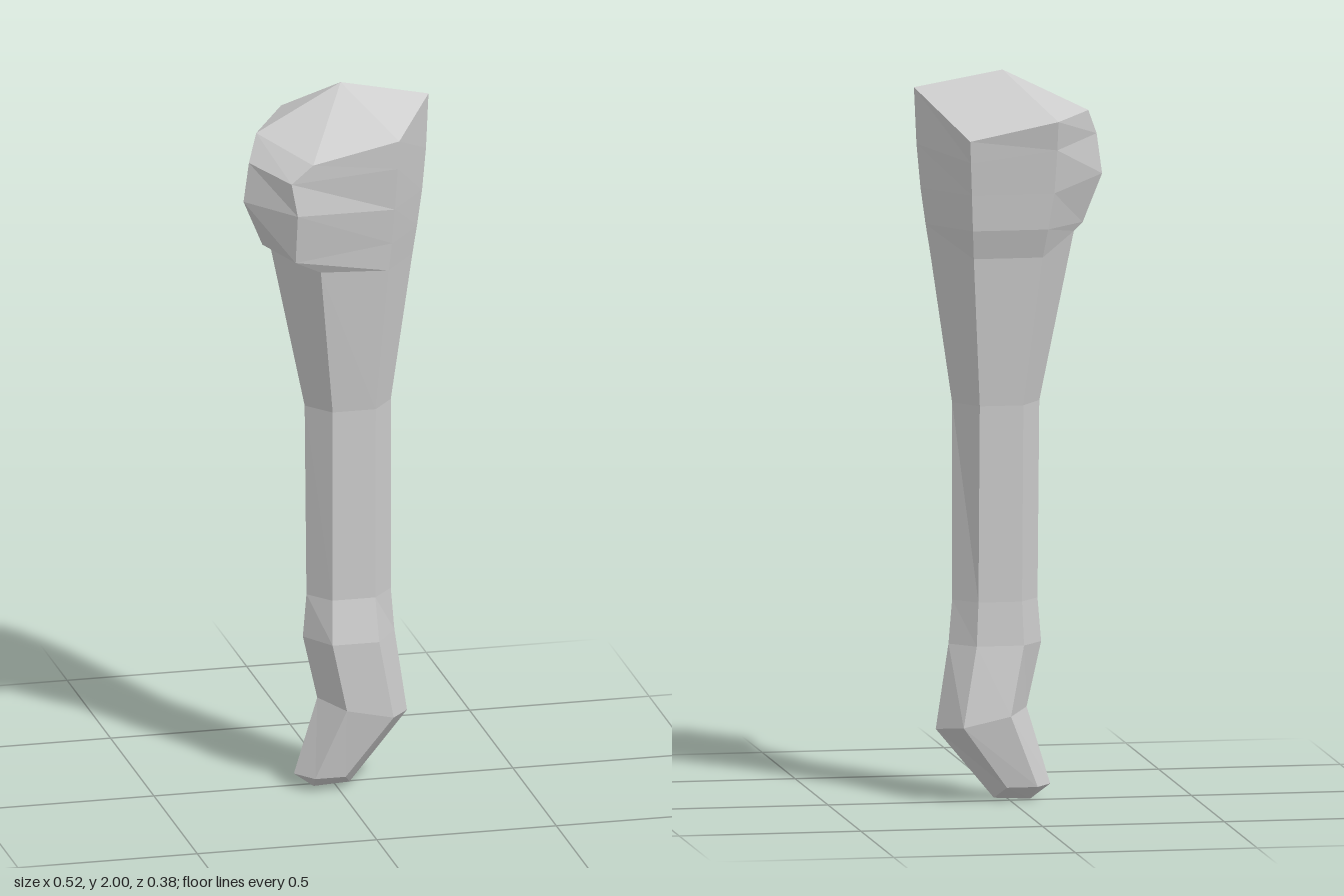
import * as THREE from 'three';

// Six-sided section, mirrored front to back. Corners run: outer, front-outer,
// front-inner, inner, back-inner, back-outer. Slope tilts it along x.
const RIDGE_Z = 0.02;
function section([y, xOuter, xMidOuter, xMidInner, xInner, zFront, zBack, slope]) {
  const centre = (xOuter + xInner) / 2;
  const corner = (x, z) => [x, y + slope * (x - centre), z];
  return [
    corner(xOuter, RIDGE_Z), corner(xMidOuter, zFront), corner(xMidInner, zFront),
    corner(xInner, RIDGE_Z), corner(xMidInner, zBack), corner(xMidOuter, zBack),
  ];
}

// Skin the rings and close both ends with fans
function loft(rings, top, bottom) {
  const pos = [];
  const tri = (a, b, c) => pos.push(...a, ...b, ...c);
  const last = rings[rings.length - 1];
  for (let i = 0; i < 6; i++) {
    const j = (i + 1) % 6;
    tri(top, rings[0][i], rings[0][j]);
    for (let r = 0; r + 1 < rings.length; r++) {
      const u = rings[r], l = rings[r + 1];
      tri(u[i], l[i], l[j]);
      tri(u[i], l[j], u[j]);
    }
    tri(bottom, last[j], last[i]);
  }
  const g = new THREE.BufferGeometry();
  g.setAttribute('position', new THREE.Float32BufferAttribute(pos, 3));
  g.computeVertexNormals();
  return g;
}

export function createModel() {
  const rings = [
    // head
    [1.88, -0.22, -0.10, 0.14, 0.26, 0.18, -0.19, 0],
    [1.80, -0.22, -0.10, 0.137, 0.253, 0.175, -0.172, 0],
    [1.68, -0.21, -0.095, 0.132, 0.242, 0.163, -0.155, 0],
    [1.58, -0.20, -0.08, 0.127, 0.228, 0.15, -0.143, 0],
    // neck and shaft
    [1.50, -0.175, -0.07, 0.12, 0.215, 0.142, -0.117, 0],
    [1.09, -0.085, -0.025, 0.095, 0.155, 0.095, -0.07, 0],
    [0.55, -0.08, -0.025, 0.095, 0.155, 0.09, -0.05, 0],
    // ankle, heel and toe
    [0.43, -0.09, -0.03, 0.10, 0.165, 0.115, -0.052, 0],
    [0.225, -0.05, 0.01, 0.14, 0.20, 0.115, -0.075, -0.22],
    [0.04, -0.115, -0.07, 0.015, 0.04, 0.08, -0.04, 0],
  ].map(section);

  // Raised inner crown corner, lower back rim and dropped toe tip
  rings[0][3] = [0.26, 1.955, 0.02];
  rings[0][4] = [0.14, 1.83, -0.175];
  rings[1][4] = [0.137, 1.77, -0.168];
  rings[9][3] = [0.04, 0.005, 0.02];

  // Knob swelling out of the head on the outer and front-outer corners
  const knobOuter = [[-0.22, 1.88, 0.02], [-0.25, 1.81, 0.06], [-0.265, 1.70, 0.06], [-0.21, 1.57, 0.05], [-0.18, 1.55, 0.02]];
  const knobFront = [[-0.10, 1.83, 0.18], [-0.16, 1.78, 0.18], [-0.145, 1.69, 0.19], [-0.145, 1.55, 0.165], [-0.07, 1.51, 0.145]];
  for (let r = 0; r < knobOuter.length; r++) {
    rings[r][0] = knobOuter[r];
    rings[r][1] = knobFront[r];
  }

  const material = new THREE.MeshStandardMaterial({ color: 0xcccccc, flatShading: true });
  const bone = new THREE.Mesh(loft(rings, [0.02, 2, 0], [-0.06, 0, RIDGE_Z]), material);
  bone.name = 'boneBody';
  const group = new THREE.Group();
  group.name = 'legBone';
  group.add(bone);
  return group;
}
